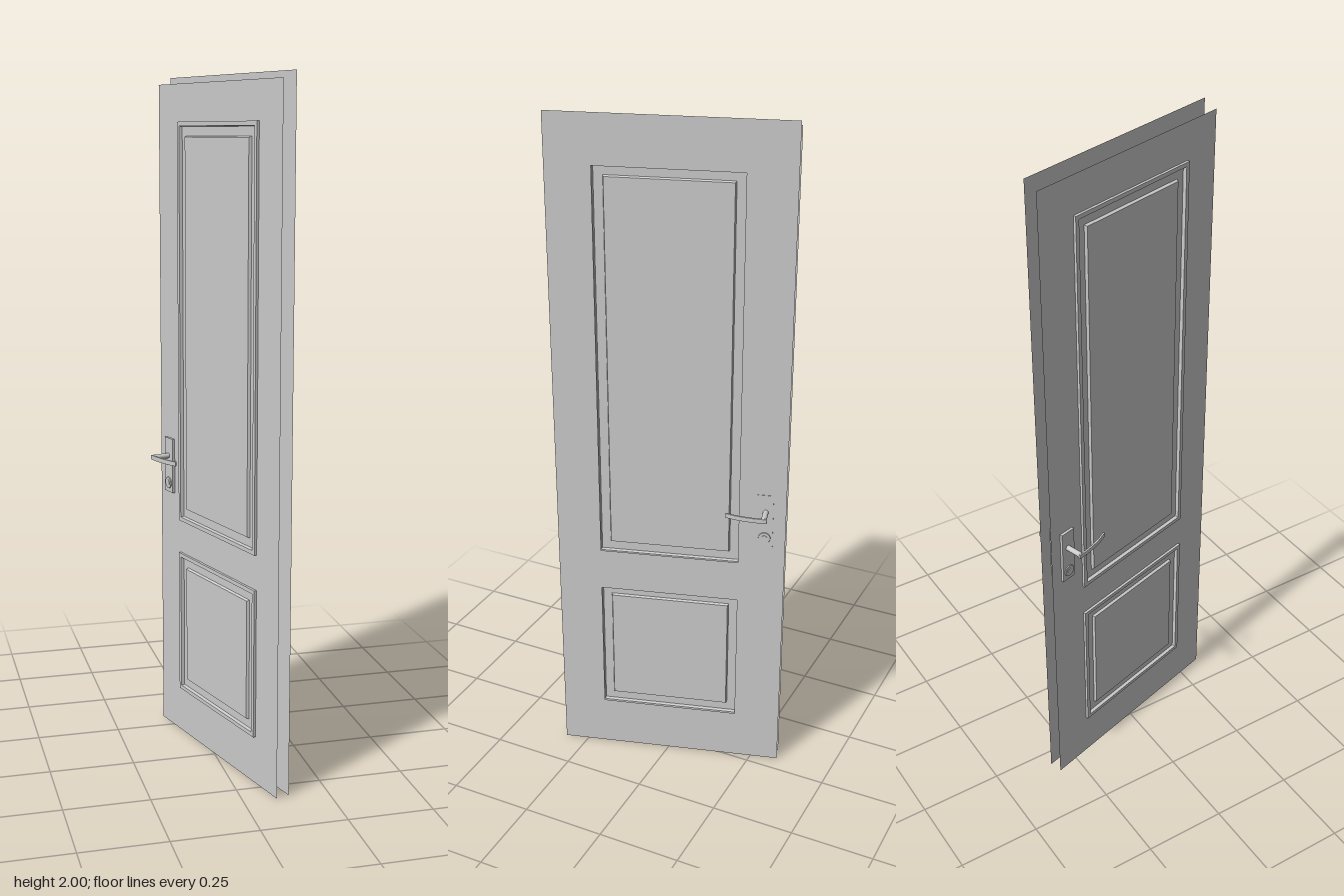
import * as THREE from 'three';

const mat = new THREE.MeshStandardMaterial({ color: 0xcccccc });
const sheetMat = new THREE.MeshStandardMaterial({ color: 0xcccccc, side: THREE.DoubleSide });
const flatMat = new THREE.MeshStandardMaterial({ color: 0xcccccc, flatShading: true });

// the two panels: vertical range, with a shared width and centre along the door
const PANELS = [{ name: 'lowerPanel', y0: 0.142, y1: 0.582 }, { name: 'upperPanel', y0: 0.685, y1: 1.873 }];
const PANEL_HALF = 0.2185, PANEL_Z = 0.004, DOOR_HALF = 0.338;

function add(parent, name, geometry, material = mat) {
  const mesh = new THREE.Mesh(geometry, material);
  mesh.name = name;
  parent.add(mesh);
  return mesh;
}

function rect(path, x0, x1, y0, y1) {
  path.moveTo(x0, y0);
  path.lineTo(x1, y0);
  path.lineTo(x1, y1);
  path.lineTo(x0, y1);
  path.closePath();
  return path;
}

// thin face of the door with an opening for each panel
function doorSheet(height, inset) {
  const shape = rect(new THREE.Shape(), -DOOR_HALF, DOOR_HALF, 0, height);
  for (const p of PANELS) {
    const h = PANEL_HALF - inset;
    shape.holes.push(rect(new THREE.Path(), -PANEL_Z - h, -PANEL_Z + h, p.y0 + inset, p.y1 - inset));
  }
  return new THREE.ShapeGeometry(shape).rotateY(Math.PI / 2);
}

// panel core: rectangular rings from one face's centre round to the other
function panelCore({ y0, y1 }) {
  const side = [[0.002, 0.043], [0.010, 0.040], [0.010, 0.014], [0, 0.012], [0, 0]]; // depth, inset
  const front = 0.0125, back = -0.0278;
  const rings = [
    ...side.map(([d, i]) => [front - d, i]),
    ...[...side].reverse().map(([d, i]) => [back + d, i]),
  ].map(([x, i]) => {
    const za = PANEL_Z + PANEL_HALF - i, zb = PANEL_Z - PANEL_HALF + i;
    return [[x, y0 + i, za], [x, y0 + i, zb], [x, y1 - i, zb], [x, y1 - i, za]];
  });
  const pos = [];
  const quad = (a, b, c, d) => pos.push(...a, ...b, ...c, ...a, ...c, ...d);
  quad(...rings[0]);
  for (let r = 0; r < rings.length - 1; r++) {
    for (let k = 0; k < 4; k++) {
      const n = (k + 1) % 4;
      quad(rings[r][k], rings[r + 1][k], rings[r + 1][n], rings[r][n]);
    }
  }
  quad(...[...rings[rings.length - 1]].reverse());
  const g = new THREE.BufferGeometry();
  g.setAttribute('position', new THREE.Float32BufferAttribute(pos, 3));
  g.computeVertexNormals();
  return g;
}

// curved lever: plan outline of constant thickness, extruded upward
function leverGeometry() {
  const curve = new THREE.CatmullRomCurve3([
    [0.0735, 0.287], [0.0738, 0.262], [0.0705, 0.226], [0.065, 0.196], [0.0565, 0.168],
  ].map(([x, y]) => new THREE.Vector3(x, y, 0)));
  const outer = [], inner = [];
  for (let i = 0; i <= 16; i++) {
    const p = curve.getPoint(i / 16), t = curve.getTangent(i / 16);
    const off = new THREE.Vector2(-t.y, t.x).multiplyScalar(0.0018);
    outer.push(new THREE.Vector2(p.x + off.x, p.y + off.y));
    inner.unshift(new THREE.Vector2(p.x - off.x, p.y - off.y));
  }
  const g = new THREE.ExtrudeGeometry(new THREE.Shape([...outer, ...inner]), {
    depth: 0.011, bevelEnabled: true, bevelSize: 0.0012, bevelThickness: 0.0015, bevelSegments: 2,
  });
  return g.rotateX(-Math.PI / 2).translate(0, 0.868, 0);
}

// plate, spindle, lever and lock rosette for one side
function handle(name) {
  const g = new THREE.Group();
  g.name = name;
  add(g, 'handlePlate', new THREE.BoxGeometry(0.008, 0.168, 0.048)).position.set(0.0175, 0.845, -0.277);
  const spindle = add(g, 'spindle', new THREE.CylinderGeometry(0.008, 0.008, 0.054, 20));
  spindle.rotation.z = Math.PI / 2;
  spindle.position.set(0.0465, 0.874, -0.279);
  add(g, 'lever', leverGeometry());
  const rosette = add(g, 'lockRosette', new THREE.CylinderGeometry(0.017, 0.019, 0.006, 24));
  rosette.rotation.z = -Math.PI / 2;
  rosette.position.set(0.021, 0.79, -0.277);
  const lock = add(g, 'lockCylinder', new THREE.CylinderGeometry(0.009, 0.009, 0.004, 16));
  lock.rotation.z = -Math.PI / 2;
  lock.position.set(0.0235, 0.79, -0.277);
  return g;
}

export function createModel() {
  const model = new THREE.Group();
  model.name = 'door';
  const leaf = new THREE.Group();
  leaf.name = 'doorLeaf';
  leaf.rotation.y = 0.277;
  leaf.position.x = 0.0235;
  model.add(leaf);

  // the two door faces
  add(leaf, 'leftFace', doorSheet(2.0, 0.013), sheetMat).position.x = 0.02;
  add(leaf, 'rightFace', doorSheet(1.98, 0.001), sheetMat).position.x = -0.02;

  // inset panels
  for (const p of PANELS) add(leaf, p.name, panelCore(p), flatMat);

  // mirrored handles
  leaf.add(handle('leftHandle'));
  const other = handle('rightHandle');
  other.scale.x = -1;
  other.position.x = -0.0065;
  leaf.add(other);
  return model;
}
